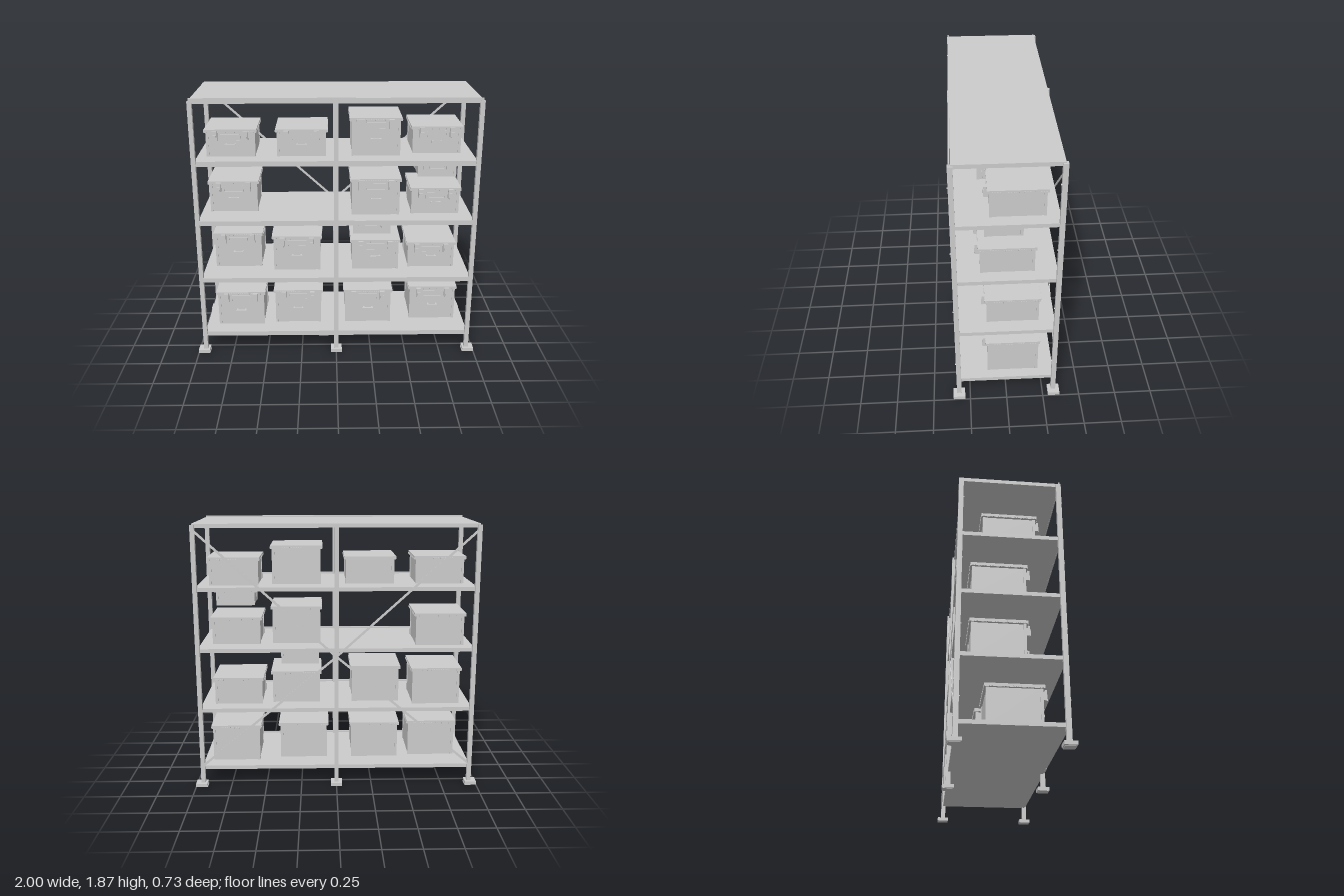
import * as THREE from 'three';
import { mergeGeometries } from 'three/addons/utils/BufferGeometryUtils.js';

const steel = new THREE.MeshStandardMaterial({ color: 0xcccccc });
steel.name = 'lightGrey';

// box geometry from its centre and size
function block(x, y, z, w, h, d) {
  return new THREE.BoxGeometry(w, h, d).translate(x, y, z);
}

function part(name, geometries) {
  const mesh = new THREE.Mesh(mergeGeometries(geometries), steel);
  mesh.name = name;
  return mesh;
}

// flat bar between two points of a plane facing z
function bar(x1, y1, x2, y2, z, width, thick) {
  const dx = x2 - x1, dy = y2 - y1;
  return new THREE.BoxGeometry(Math.hypot(dx, dy), width, thick)
    .rotateZ(Math.atan2(dy, dx))
    .translate((x1 + x2) / 2, (y1 + y2) / 2, z);
}

// small teeth around the edge of a lid
function lidTeeth(w, d, y, h) {
  const teeth = [];
  const step = 0.016;
  for (let x = -w / 2 + step; x < w / 2 - step / 2; x += step)
    for (const s of [-1, 1]) teeth.push(block(x, y, s * d / 2, 0.007, h, 0.006));
  for (let z = -d / 2 + step; z < d / 2 - step / 2; z += step)
    for (const s of [-1, 1]) teeth.push(block(s * w / 2, y, z, 0.006, h, 0.007));
  return teeth;
}

// storage box with its bottom at y = 0 and its latches on +z
function storageBox(w, h, d, small) {
  const g = new THREE.Group();
  g.name = small ? 'smallBox' : 'storageBox';
  const bw = w - 0.035, bd = d - 0.035, front = bd / 2;

  g.add(part('boxBody', [block(0, (h - 0.01) / 2, 0, bw, h - 0.01, bd)]));
  g.add(part('lid', [block(0, h - 0.011, 0, w - 0.004, 0.022, d - 0.004)]));
  g.add(part('lidTeeth', lidTeeth(w - 0.004, d - 0.004, h - 0.016, 0.01)));

  // corner ribs
  const ribs = [];
  for (const sx of [-1, 1]) for (const sz of [-1, 1])
    ribs.push(block(sx * (bw / 2 - 0.004), h / 2 - 0.005, sz * (bd / 2 - 0.004), 0.018, h - 0.012, 0.018));
  g.add(part('cornerRibs', ribs));

  // latches hooked over the lid
  const lx = small ? 0.08 : 0.104, lh = small ? 0.05 : 0.068;
  const latches = [];
  for (const s of [-1, 1]) {
    latches.push(block(s * lx, h - 0.008 - lh / 2, front + 0.017, 0.034, lh, 0.034));
    latches.push(block(s * lx, h - 0.012 - lh * 0.65, front + 0.035, 0.022, lh * 0.6, 0.006));
  }
  g.add(part('latches', latches));

  // label holder frame
  const lw = small ? 0.1 : 0.13, lhh = small ? 0.025 : 0.042;
  const ly = h - (small ? 0.045 : 0.058), z = front + 0.003;
  g.add(part('labelHolder', [
    block(0, ly, front + 0.001, lw, lhh, 0.004),
    block(0, ly - lhh / 2, z, lw, 0.005, 0.008),
    block(0, ly + lhh / 2, z, lw, 0.005, 0.008),
    block(-lw / 2, ly, z, 0.005, lhh, 0.008),
    block(lw / 2, ly, z, 0.005, lhh, 0.008),
  ]));

  // pull handle on two short stems
  if (!small) {
    const hy = h * 0.45;
    g.add(part('handle', [
      block(0, hy, front + 0.026, 0.076, 0.012, 0.01),
      block(-0.03, hy, front + 0.012, 0.01, 0.008, 0.026),
      block(0.03, hy, front + 0.012, 0.01, 0.008, 0.026),
    ]));
  }
  return g;
}

export function createModel() {
  const model = new THREE.Group();
  model.name = 'storageRack';

  // posts, feet and studs
  const posts = [], feet = [], studs = [];
  for (const x of [-0.95, 0, 0.95]) for (const z of [-0.323, 0.325]) {
    posts.push(block(x, 0.935, z, 0.03, 1.82, 0.032));
    feet.push(block(x === 0 ? 0 : Math.sign(x) * 0.96, 0.015, Math.sign(z) * 0.325, 0.08, 0.024, 0.08));
    feet.push(block(x, 0.003, Math.sign(z) * 0.325, 0.066, 0.006, 0.066));
    if (x !== 0) for (const y of [0.29, 0.76, 1.23, 1.7])
      studs.push(new THREE.CylinderGeometry(0.005, 0.005, 0.008, 10)
        .rotateX(Math.PI / 2).translate(x, y, z + 0.018));
  }
  model.add(part('posts', posts), part('feet', feet), part('studs', studs));

  // shelves with a front beam and a joining sleeve in the middle
  const tops = [0.15, 0.576, 1.005, 1.429, 1.853];
  const shelves = [], beams = [], sleeves = [];
  tops.forEach((y, i) => {
    shelves.push(block(0, y - 0.0135, 0, i === 4 ? 1.91 : 1.9, 0.027, 0.65));
    beams.push(block(0, y - 0.005, 0.331, i === 4 ? 1.91 : 1.89, 0.033, 0.008));
    sleeves.push(block(0, y - 0.005, 0.332, 0.25, 0.038, 0.009));
  });
  model.add(part('shelves', shelves), part('frontBeams', beams), part('beamSleeves', sleeves));

  // crossed back braces
  const braces = [];
  [-1, 1].forEach((s, i) => {
    const z = -0.331 - i * 0.004;
    braces.push(bar(s * 0.945, 1.81, 0, 0.948, z, 0.016, 0.004));
    braces.push(bar(s * 0.945, 0.155, 0, 0.948, z, 0.016, 0.004));
  });
  model.add(part('backBraces', braces));

  // boxes: x, z, bottom, top
  const boxes = [
    [-0.695, 0.028, 0.15, 0.415], [-0.278, 0.0, 0.15, 0.415],
    [0.235, 0.0, 0.15, 0.415], [0.717, -0.047, 0.15, 0.415],
    [-0.706, -0.067, 0.576, 0.84], [-0.28, 0.0, 0.576, 0.84],
    [0.283, -0.01, 0.576, 0.807], [0.69, -0.045, 0.576, 0.77],
    [-0.722, -0.067, 1.005, 1.233], [0.278, 0.012, 1.005, 1.27],
    [0.698, -0.007, 1.005, 1.198],
    [-0.717, 0.0, 1.429, 1.62], [-0.235, 0.0, 1.429, 1.62],
    [0.273, -0.007, 1.429, 1.695], [0.698, -0.067, 1.429, 1.622],
  ];
  for (const [x, z, y0, y1] of boxes) {
    const b = storageBox(0.36, y1 - y0, 0.37, false);
    b.position.set(x, y0, z);
    model.add(b);
  }
  for (const [x, y0] of [[0.257, 0.84], [0.706, 1.267]]) {
    const b = storageBox(0.295, 0.117, 0.267, true);
    b.position.set(x, y0, 0.015);
    model.add(b);
  }
  return model;
}
